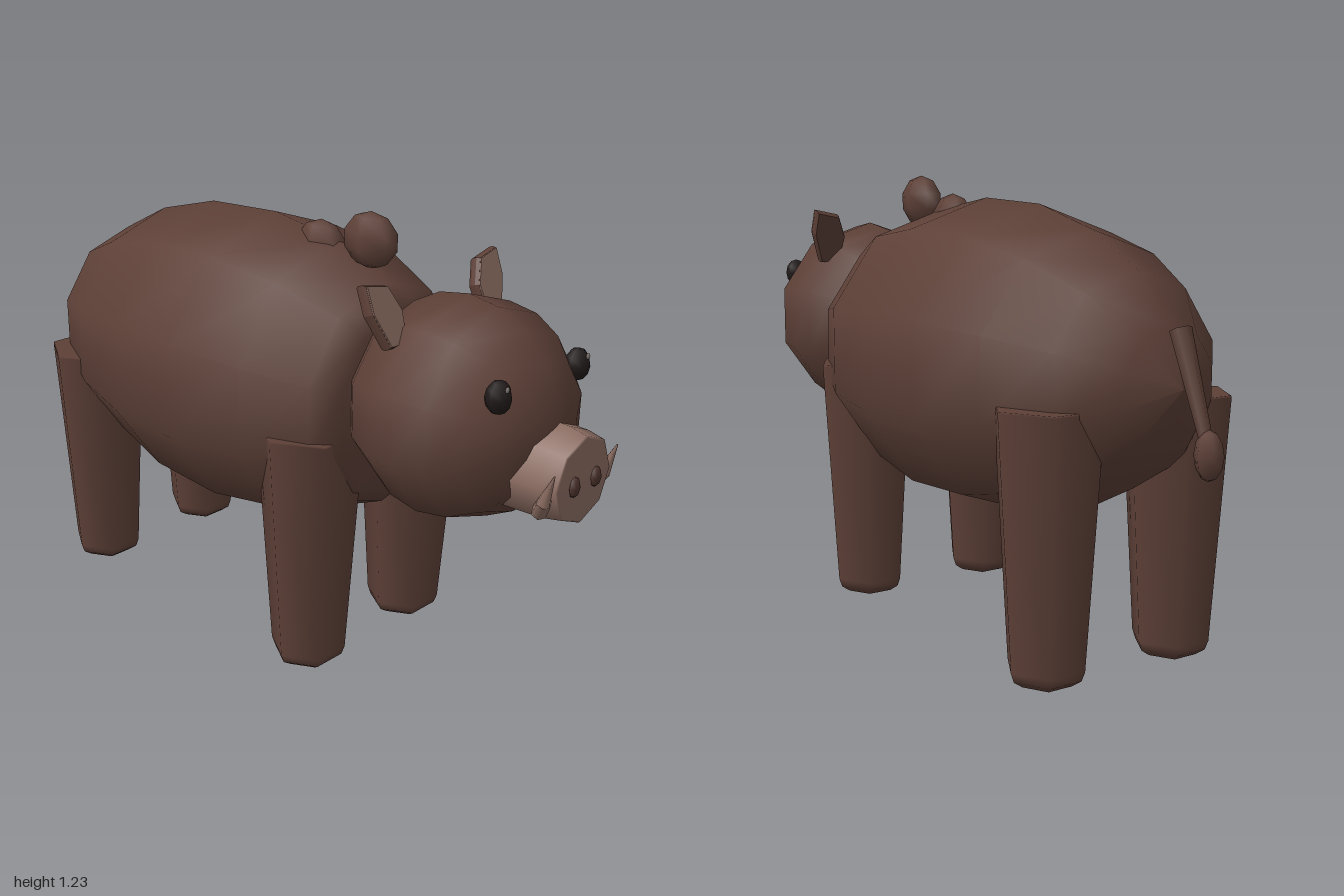
import * as THREE from 'three';

const mat = (name, color) => Object.assign(new THREE.MeshStandardMaterial({ color }), { name });

export function createModel() {
  const hide = mat('brown hide', 0x5d4037);
  const skin = mat('light skin', 0x8d6e63);
  const nostrilBrown = mat('nostril brown', 0x4e342e);
  const eyeBlack = mat('eye black', 0x211a1a);
  const glint = mat('eye glint', 0x8a807c);
  const group = new THREE.Group();

  const add = (name, geo, material, x = 0, y = 0, z = 0) => {
    const m = new THREE.Mesh(geo, material);
    m.name = name;
    m.position.set(x, y, z);
    group.add(m);
    return m;
  };
  const lathe = (pts, sides) =>
    new THREE.LatheGeometry(pts.map(([r, h]) => new THREE.Vector2(r, h)), sides);
  const blob = (name, material, sides, rings, [rx, ry, rz], [x, y, z]) =>
    add(name, new THREE.SphereGeometry(1, sides, rings).scale(rx, ry, rz), material, x, y, z);
  // Tapered rod between two points
  const rod = (name, material, a, b, ra, rb, sides) => {
    const p = new THREE.Vector3(...a), q = new THREE.Vector3(...b), d = q.clone().sub(p);
    const m = add(name, new THREE.CylinderGeometry(rb, ra, d.length(), sides), material);
    m.position.copy(p).add(q).multiplyScalar(0.5);
    m.quaternion.setFromUnitVectors(new THREE.Vector3(0, 1, 0), d.normalize());
    return m;
  };

  // Barrel body: radius and z, turned about the long axis
  const body = lathe([[0, -0.87], [0.145, -0.82], [0.265, -0.7], [0.355, -0.52], [0.412, -0.3],
    [0.424, -0.05], [0.388, 0.18], [0.31, 0.36], [0.25, 0.42], [0, 0.45]], 10);
  add('body', body.rotateX(Math.PI / 2).scale(0.97, 1, 1), hide, 0, 0.745, 0);

  // Head
  const headGeo = new THREE.SphereGeometry(0.29, 10, 10).rotateY(Math.PI / 2).rotateX(Math.PI / 2);
  add('head', headGeo, hide, 0, 0.79, 0.62);

  // Snout with a flat nose
  const snout = lathe([[0.127, 0.8], [0.122, 0.93], [0.112, 0.978], [0.108, 0.982], [0, 0.984]], 8);
  add('snout', snout.rotateX(Math.PI / 2), skin, 0, 0.703, 0);

  // Legs
  const legPts = [[0, 0], [0.07, 0.003], [0.095, 0.02], [0.104, 0.045],
    [0.145, 0.685], [0.143, 0.69], [0, 0.69]];
  const legGeo = lathe(legPts, 6).rotateY(Math.PI / 2);

  // Ear outline around its own centre
  const ear = [[-0.04, -0.08], [0.015, -0.08], [0.05, 0.01], [0.05, 0.08], [-0.02, 0.065], [-0.05, 0]];
  const earShape = (side, k) =>
    new THREE.Shape(ear.map(([x, y]) => new THREE.Vector2(side * x * k, y * k)));

  for (const side of [1, -1]) {
    const label = side > 0 ? 'left' : 'right';
    add(label + 'FrontLeg', legGeo, hide, side * 0.2, 0, 0.28);
    add(label + 'BackLeg', legGeo, hide, side * 0.2, 0, -0.62);

    const back = new THREE.ExtrudeGeometry(earShape(side, 0.98), {
      depth: 0.012, bevelEnabled: true, bevelSize: 0.004, bevelThickness: 0.01, bevelSegments: 1,
    });
    const inner = new THREE.ExtrudeGeometry(earShape(side, 0.97), { depth: 0.006, bevelEnabled: false });
    add(label + 'Ear', back, hide, side * 0.2, 1.045, 0.515).rotation.x = -0.35;
    const front = add(label + 'InnerEar', inner.translate(0, 0, 0.02), skin, side * 0.2, 1.045, 0.515);
    front.rotation.x = -0.35;

    blob(label + 'Eye', eyeBlack, 7, 6, [0.033, 0.042, 0.033], [side * 0.158, 0.915, 0.838]);
    blob(label + 'EyeGlint', glint, 6, 4, [0.008, 0.008, 0.004], [side * 0.162, 0.94, 0.864]);
    blob(label + 'Nostril', nostrilBrown, 6, 4, [0.02, 0.027, 0.012], [side * 0.044, 0.7, 0.985]);

    // Upturned tusk in two segments
    rod(label + 'TuskBase', skin, [side * 0.098, 0.635, 0.93], [side * 0.125, 0.68, 0.96], 0.02, 0.018, 6);
    rod(label + 'TuskTip', skin, [side * 0.125, 0.675, 0.957], [side * 0.13, 0.755, 0.985], 0.018, 0.002, 6);
  }

  // Mane tufts
  blob('frontManeTuft', hide, 6, 5, [0.05, 0.075, 0.085], [0, 1.153, 0.3]);
  blob('rearManeTuft', hide, 6, 5, [0.05, 0.075, 0.08], [0, 1.103, 0.125]);

  // Tail and its tuft
  rod('tail', hide, [0, 0.885, -0.855], [0, 0.64, -0.95], 0.027, 0.016, 6);
  blob('tailTuft', hide, 6, 6, [0.035, 0.06, 0.037], [0, 0.607, -0.96]);

  return group;
}
